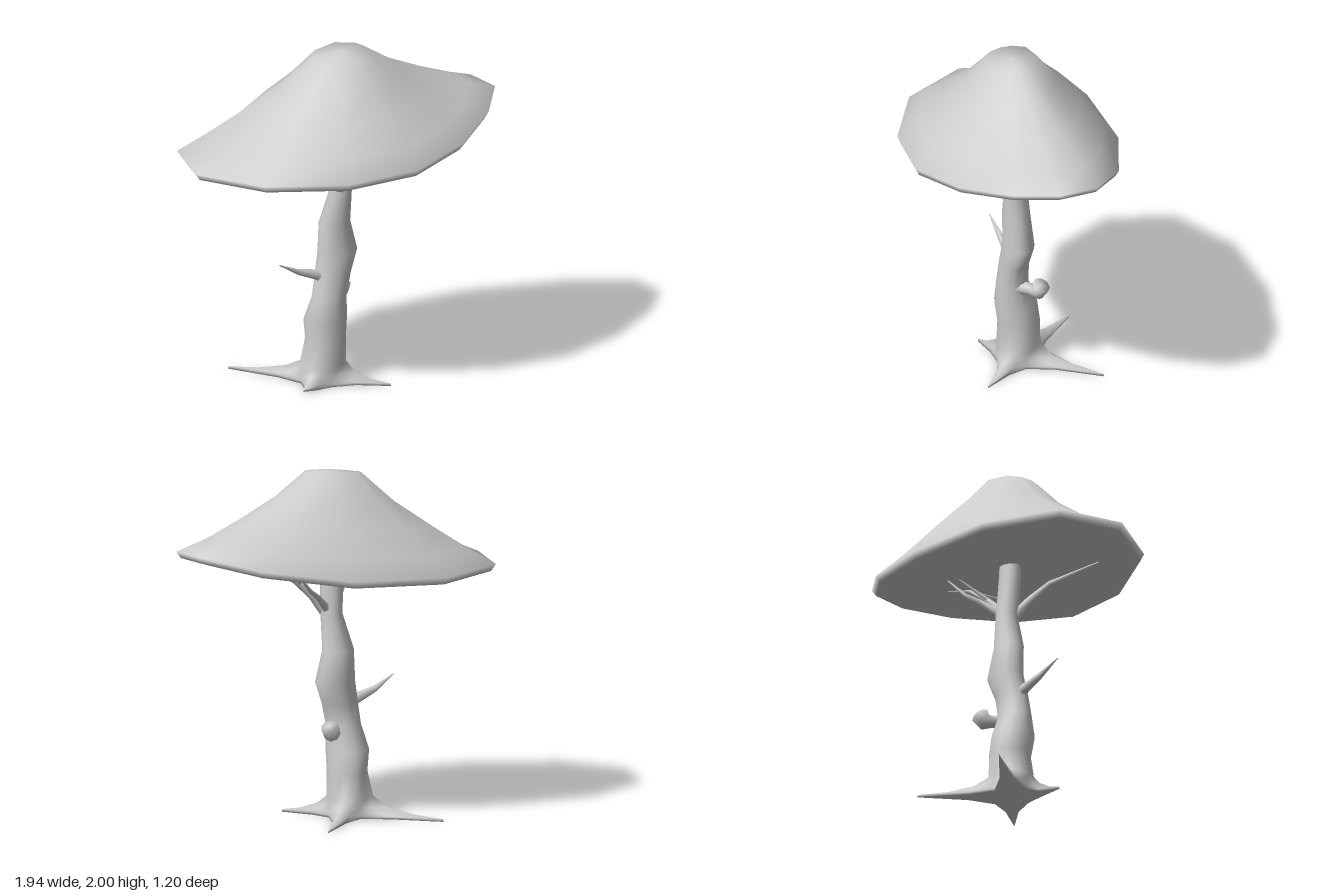
import * as THREE from 'three';

const V = (x, y, z) => new THREE.Vector3(x, y, z);
const material = new THREE.MeshStandardMaterial({ color: 0xcccccc, side: THREE.DoubleSide });

// Skin a list of closed rings (all with the same number of points)
function loft(name, rings) {
  const n = rings[0].length, index = [];
  for (let i = 0; i < rings.length - 1; i++) {
    for (let j = 0; j < n; j++) {
      const k = (j + 1) % n, a = i * n, b = a + n;
      index.push(a + j, a + k, b + k, a + j, b + k, b + j);
    }
  }
  const geometry = new THREE.BufferGeometry().setFromPoints(rings.flat());
  geometry.setIndex(index);
  geometry.computeVertexNormals();
  const mesh = new THREE.Mesh(geometry, material);
  mesh.name = name;
  return mesh;
}

// Tapered limb through points given as [x, y, z, radius]
function limb(name, pts, sides = 6) {
  const rings = pts.map((p, i) => {
    const q = pts[Math.max(i - 1, 0)], r = pts[Math.min(i + 1, pts.length - 1)];
    const t = V(r[0] - q[0], r[1] - q[1], r[2] - q[2]).normalize();
    const a = V(-t.z, 0, t.x).normalize(), b = t.clone().cross(a);
    return Array.from({ length: sides }, (_, j) => {
      const w = (j / sides) * Math.PI * 2;
      return V(p[0], p[1], p[2])
        .addScaledVector(a, Math.cos(w) * p[3])
        .addScaledVector(b, Math.sin(w) * p[3]);
    });
  });
  return loft(name, rings);
}

// Trunk that flares into four thin roots, skinned as one surface
function createTrunk() {
  const cx = -0.1, cz = -0.075;
  const tips = [[-0.32, 0.09], [0.19, 0.19], [0.25, -0.48], [-0.48, -0.5]];
  const bearings = tips.map(([x, z]) => Math.atan2(x - cx, z - cz));
  bearings[3] += Math.PI * 2;
  // Four points per root: shoulder, crest, shoulder, valley
  const angles = bearings.flatMap((w, k) => {
    const next = k < 3 ? bearings[k + 1] : bearings[0] + Math.PI * 2;
    return [w - 0.42, w, w + 0.42, (w + next) / 2];
  });
  const section = ([y, l, r, b, f]) => angles.map((w) =>
    V((l + r) / 2 + Math.sin(w) * (r - l) / 2, y, (b + f) / 2 + Math.cos(w) * (f - b) / 2));

  // Sections: y, left x, right x, back z, front z
  const sections = [
    [0.11, -0.235, 0.035, -0.205, 0.045], [0.26, -0.2, 0.03, -0.2, 0.045],
    [0.38, -0.22, 0.03, -0.185, 0.06], [0.52, -0.185, 0.02, -0.13, 0.05],
    [0.65, -0.165, 0.05, -0.125, 0.04], [0.78, -0.14, 0.1, -0.145, 0.03],
    [0.96, -0.135, 0.05, -0.13, 0.03], [1.17, -0.07, 0.055, -0.1, 0.03],
    [1.42, -0.09, 0.05, -0.08, 0.04], [1.52, -0.08, 0.045, -0.075, 0.03],
  ].map(section);

  // Flare rings: crests run out to the tips, shoulders follow a little
  const flare = (t, y) => sections[0].map((p, j) => {
    const [x, z] = tips[Math.floor(j / 4)];
    const reach = [0.3, 1, 0.3, 0][j % 4] * t;
    const lift = j === 1 ? 0.025 * t : 0; // the front right root stays off the ground
    return V(p.x + (x - p.x) * reach, y + lift, p.z + (z - p.z) * reach);
  });
  const floor = angles.map(() => V(cx, 0, cz));
  return loft('trunk', [
    floor, flare(1, 0), flare(1, 0.015), flare(0.6, 0.03), flare(0.22, 0.065), ...sections,
  ]);
}

function createCanopy() {
  const group = new THREE.Group();
  group.name = 'canopy';
  // Rim outline, x y z
  const rim = [
    [-0.97, 1.43, 0], [-0.73, 1.43, 0.37], [-0.30, 1.43, 0.575], [0.14, 1.45, 0.6],
    [0.51, 1.50, 0.46], [0.80, 1.56, 0.23], [0.97, 1.61, 0], [0.94, 1.61, -0.23],
    [0.66, 1.54, -0.44], [0.14, 1.46, -0.60], [-0.45, 1.43, -0.60], [-0.88, 1.43, -0.38],
  ].map((p) => V(...p));
  const centre = V(-0.03, 0, -0.01);
  const crown = rim.map((p) => {
    const d = V(p.x - centre.x, 0, p.z - centre.z).normalize();
    return V(centre.x + d.x * 0.165, 1.98 + d.x * 0.015 - d.z * 0.015, centre.z + d.z * 0.15);
  });
  // Ring scaled towards the centre, with a height offset
  const inset = (s, dy) => rim.map((p) => V(
    centre.x + (p.x - centre.x) * s, p.y + dy, centre.z + (p.z - centre.z) * s));
  // Bell-shaped flank, fuller across z than across x
  const flank = [[0, 0], [0.2, 0.13], [0.47, 0.35], [0.76, 0.65], [1, 1]].map(([t, f]) =>
    rim.map((p, i) => {
      const c = crown[i], side = Math.abs(p.z) / Math.hypot(p.x, p.z);
      const v = p.clone().lerp(c, t);
      v.y = p.y + (c.y - p.y) * (f + 0.16 * Math.sin(Math.PI * t) * side);
      return v;
    }));
  const peak = rim.map(() => V(0, 2.0, -0.02));
  group.add(loft('canopyTop', [inset(0.92, -0.03), inset(0.97, -0.04), ...flank, peak]));

  // Nearly flat underside, rising gently to the trunk
  const underside = (s, mix) => inset(s, -0.03).map((v) => {
    v.y += (1.485 - v.y) * mix;
    return v;
  });
  group.add(loft('canopyUnderside', [underside(0.001, 1), underside(0.46, 0.5), underside(0.92, 0)]));
  return group;
}

export function createModel() {
  const model = new THREE.Group();
  model.name = 'tree';
  model.add(createTrunk());

  // Bare side branch
  model.add(limb('sideBranch', [
    [-0.08, 0.63, -0.04, 0.05], [-0.17, 0.665, -0.04, 0.03],
    [-0.29, 0.705, -0.03, 0.018], [-0.42, 0.775, -0.01, 0.003],
  ]));
  // Cut stub, bent upwards with a flat end
  model.add(limb('stub', [
    [-0.02, 0.51, -0.05, 0.045], [0.025, 0.505, -0.11, 0.036],
    [0.05, 0.5, -0.15, 0.05], [0.073, 0.545, -0.165, 0.052], [0.074, 0.547, -0.166, 0.001],
  ], 8));

  // Thin forked branches reaching into the canopy
  const branches = [
    [[-0.03, 1.17, 0, 0.03], [-0.11, 1.27, 0.05, 0.02], [-0.2, 1.36, 0.12, 0.014], [-0.5, 1.42, 0.23, 0.004]],
    [[0.02, 1.17, -0.02, 0.032], [0.1, 1.27, -0.01, 0.022], [0.2, 1.36, -0.01, 0.016],
      [0.36, 1.47, 0, 0.011], [0.55, 1.54, 0.01, 0.004]],
    [[0.34, 1.455, 0, 0.01], [0.34, 1.465, 0.08, 0.009], [0.34, 1.49, 0.31, 0.004]],
    [[0.03, 1.2, -0.05, 0.026], [0.13, 1.29, -0.13, 0.016], [0.2, 1.34, -0.17, 0.012], [0.3, 1.45, -0.21, 0.005]],
    [[0.18, 1.35, -0.01, 0.012], [0.24, 1.42, -0.08, 0.009], [0.29, 1.48, -0.14, 0.004]],
  ];
  for (const path of branches) model.add(limb('branch', path, 5));

  model.add(createCanopy());
  return model;
}
